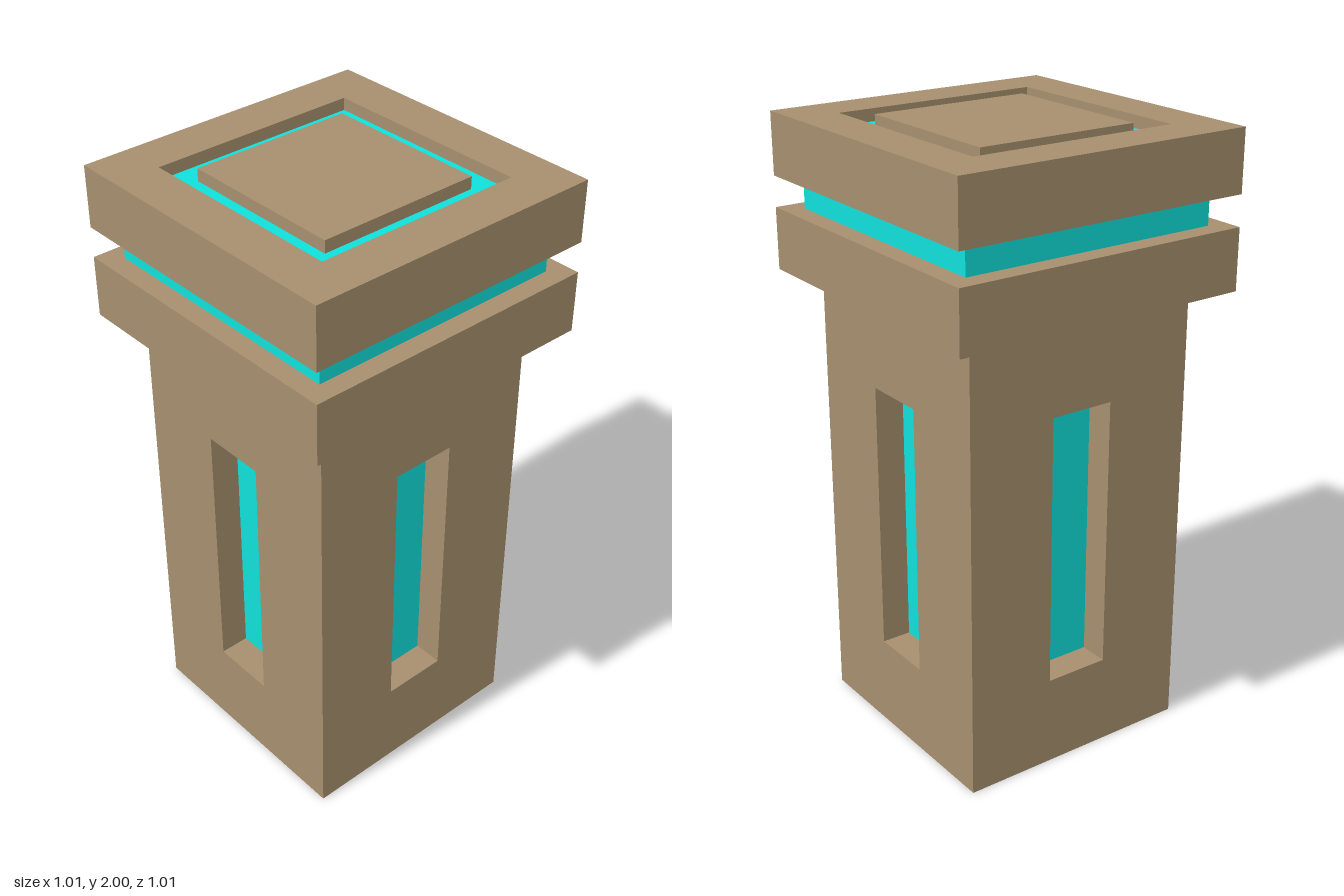
import * as THREE from 'three';

const stone = new THREE.MeshStandardMaterial({ color: 0xa68f6e, flatShading: true });
const glow = new THREE.MeshStandardMaterial({ color: 0x10dfda, flatShading: true });

// Square block with half width h, from y0 to y1
function block(name, h, y0, y1, material) {
  const mesh = new THREE.Mesh(new THREE.BoxGeometry(2 * h, y1 - y0, 2 * h), material);
  mesh.position.y = (y0 + y1) / 2;
  mesh.name = name;
  return mesh;
}

// Rectangle points, counter-clockwise
function rect(x0, y0, x1, y1) {
  return [[x0, y0], [x1, y0], [x1, y1], [x0, y1]].map(([x, y]) => new THREE.Vector2(x, y));
}

// Rectangular plate with a rectangular hole, extruded along z
function framedPlate(outer, hole, depth) {
  const shape = new THREE.Shape(outer);
  shape.holes.push(new THREE.Path(hole));
  return new THREE.ExtrudeGeometry(shape, { depth, bevelEnabled: false });
}

export function createModel() {
  const model = new THREE.Group();
  model.name = 'pillar';

  const half = 0.405, recess = 0.1, slit = 0.108, height = 1.5;
  const inner = half - recess;

  // Shaft: solid core clad by four walls with slit windows
  model.add(block('shaftCore', inner, 0, height, stone));

  const wallGeometry = framedPlate(rect(-half, 0, half, height), rect(-slit, 0.3, slit, 1.2), recess);
  // Mitre the back edges so the walls meet at the corners
  const p = wallGeometry.attributes.position;
  for (let i = 0; i < p.count; i++) {
    if (p.getZ(i) < recess / 2 && Math.abs(p.getX(i)) > slit + 0.01) {
      p.setX(i, Math.sign(p.getX(i)) * inner);
    }
  }
  wallGeometry.computeVertexNormals();

  ['front', 'left', 'back', 'right'].forEach((side, i) => {
    const group = new THREE.Group();
    group.name = side + 'Side';
    const wall = new THREE.Mesh(wallGeometry, stone);
    wall.name = side + 'Wall';
    wall.position.z = inner;
    // Glowing panel at the bottom of the window recess
    const panel = new THREE.Mesh(new THREE.PlaneGeometry(2 * slit, 0.9), glow);
    panel.name = side + 'WindowPanel';
    panel.position.set(0, 0.75, inner + 0.002);
    group.add(wall, panel);
    group.rotation.y = i * Math.PI / 2;
    model.add(group);
  });

  // Capital: lower slab, glowing band, upper slab
  const slab = 0.505, opening = 0.353;
  model.add(block('lowerSlab', slab, 1.5, 1.7, stone));
  model.add(block('glowBand', 0.439, 1.7, 1.8, glow));

  const rim = new THREE.Mesh(
    framedPlate(rect(-slab, -slab, slab, slab), rect(-opening, -opening, opening, opening), 0.2), stone);
  rim.name = 'upperSlab';
  rim.rotation.x = -Math.PI / 2;
  rim.position.y = 1.8;
  model.add(rim);

  // Sunken glowing floor with the centre tile on it
  model.add(block('glowInlay', opening, 1.8, 1.96, glow));
  model.add(block('centreTile', 0.275, 1.96, 2, stone));

  return model;
}
